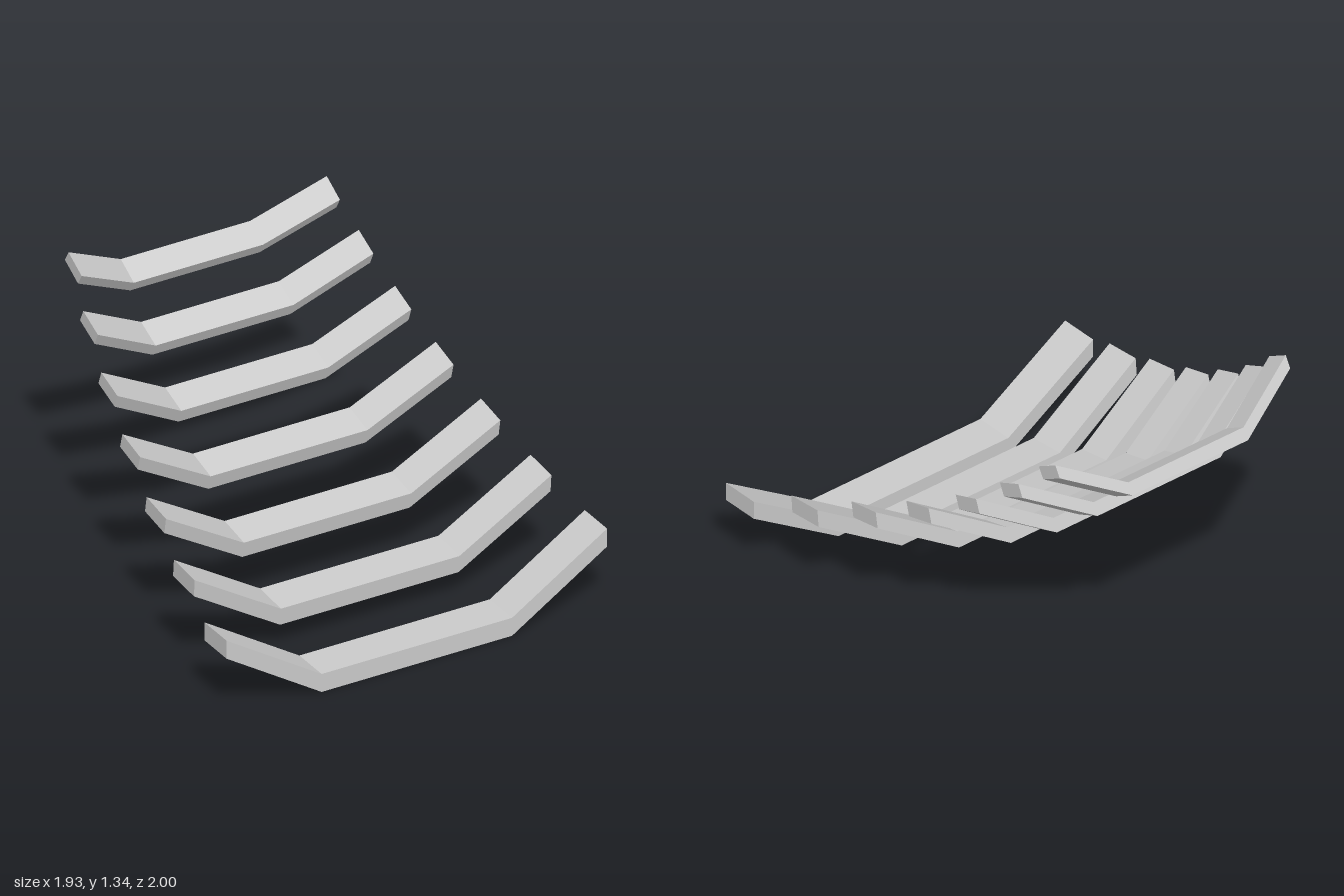
import * as THREE from 'three';

const SLATS = 7;
const SHRINK = 0.9375; // each slat is this much smaller than the one before
const TILT = THREE.MathUtils.degToRad(5); // extra lean per slat
const DEPTH = 0.19;

// Lower front edge of each slat: [z, y]
const PATH = [
  [1, 0], [0.595, 0.13], [0.227, 0.282], [-0.106, 0.453],
  [-0.402, 0.638], [-0.663, 0.839], [-0.888, 1.045],
];

// Flat middle with two raised wings, extruded backwards from z = 0
function slatGeometry() {
  const half = 0.965, flat = 0.483, rise = 0.307, thick = 0.09;
  const lower = [[-half, rise], [-flat, 0], [flat, 0], [half, rise]];
  const upper = lower.map(([x, y]) => [x, y + thick]).reverse();
  const shape = new THREE.Shape([...lower, ...upper].map(([x, y]) => new THREE.Vector2(x, y)));
  const geometry = new THREE.ExtrudeGeometry(shape, { depth: DEPTH, bevelEnabled: false });
  return geometry.translate(0, 0, -DEPTH);
}

export function createModel() {
  const model = new THREE.Group();
  model.name = 'curvedSlats';
  const material = new THREE.MeshStandardMaterial({ color: 0xcccccc, flatShading: true });
  const geometry = slatGeometry();

  // Slats climb towards the back, shrinking and leaning forwards
  for (let i = 0; i < SLATS; i++) {
    const slat = new THREE.Mesh(geometry, material);
    slat.name = `slat${i + 1}`;
    slat.scale.setScalar(SHRINK ** i);
    slat.rotation.x = TILT * i;
    slat.position.set(0, PATH[i][1], PATH[i][0]);
    model.add(slat);
  }
  return model;
}
